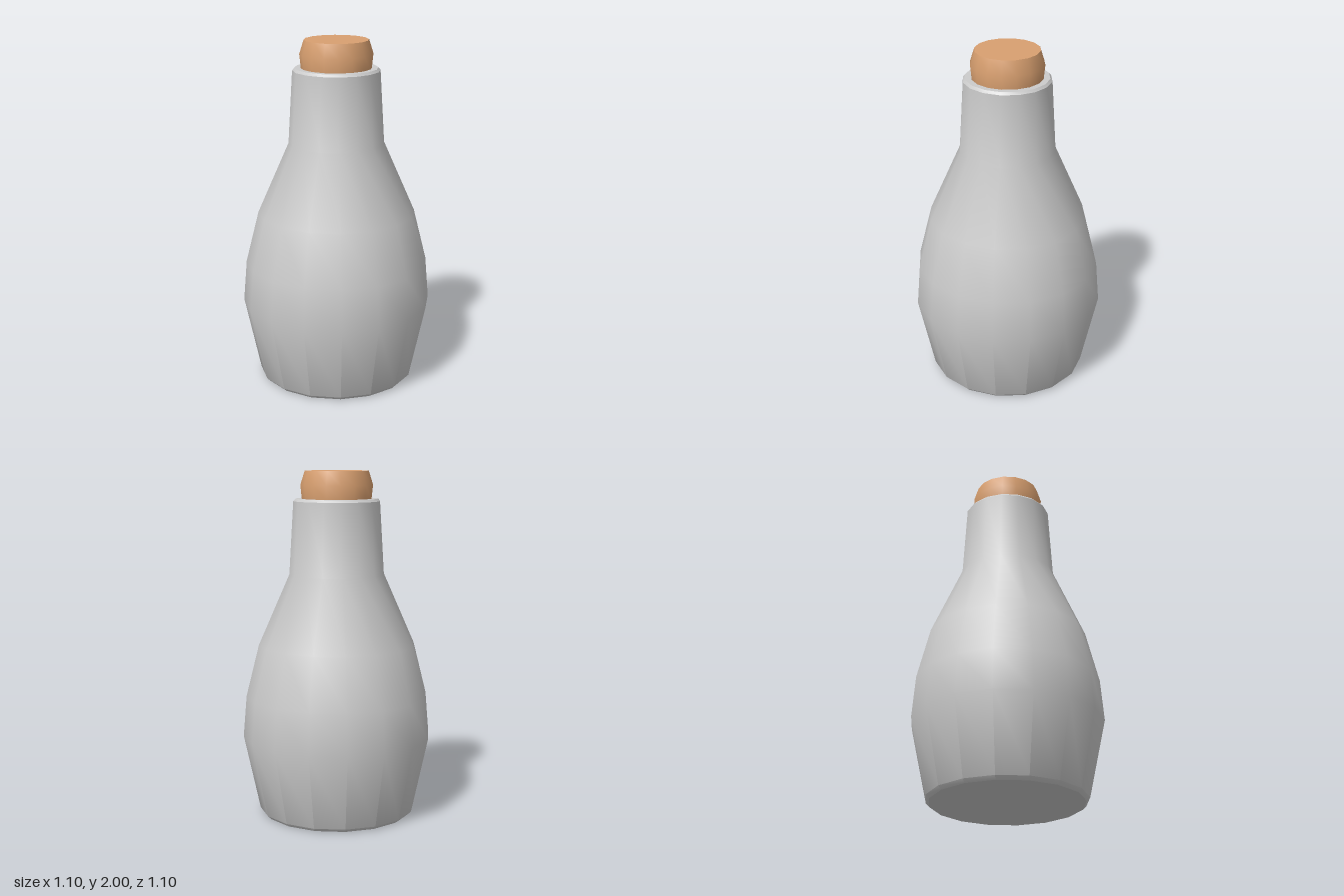
import * as THREE from 'three';
import { toCreasedNormals } from 'three/addons/utils/BufferGeometryUtils.js';

const SIDES = 16;

// Turned part from a [radius, height] profile, listed from bottom to top
function turned(name, profile, material) {
  const points = profile.map(([r, y]) => new THREE.Vector2(r, y));
  const geometry = toCreasedNormals(new THREE.LatheGeometry(points, SIDES), 0.6);
  const mesh = new THREE.Mesh(geometry, material);
  mesh.name = name;
  return mesh;
}

export function createModel() {
  const group = new THREE.Group();
  group.name = 'corkedBottle';

  const glass = new THREE.MeshStandardMaterial({ color: 0xcccccc });
  const corkMaterial = new THREE.MeshStandardMaterial({ color: 0xd9a070 });

  // Bottle: bevelled base, full belly, shoulder, tapering neck, rim and mouth
  group.add(turned('bottle', [
    [0, 0], [0.435, 0], [0.455, 0.02],
    [0.55, 0.46], [0.53, 0.7], [0.455, 1.0],
    [0.275, 1.41], [0.25, 1.828], [0.238, 1.842],
    [0.203, 1.842], [0.203, 1.78],
  ], glass));

  // Cork: slight bulge, chamfered towards the flat top
  group.add(turned('cork', [
    [0, 1.78], [0.196, 1.78], [0.201, 1.842], [0.209, 1.92], [0.184, 2], [0, 2],
  ], corkMaterial));

  return group;
}
